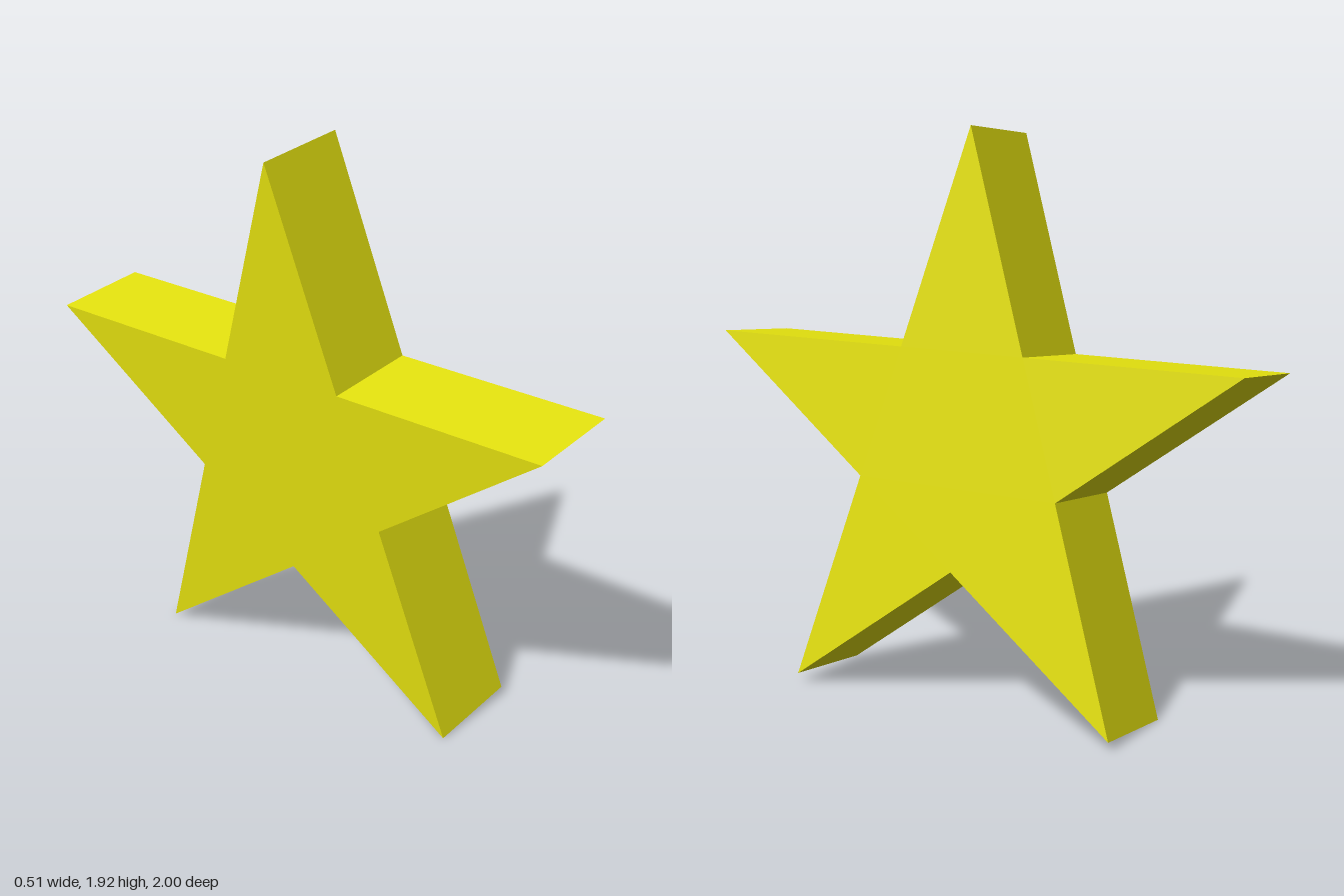
import * as THREE from 'three';

export function createModel() {
  const outer = 1.0515, inner = 0.4016, depth = 0.341;

  // Five-pointed outline, first point straight up
  const points = [];
  for (let i = 0; i < 10; i++) {
    const r = i % 2 ? inner : outer;
    const a = Math.PI / 2 + (i * Math.PI) / 5;
    points.push(new THREE.Vector2(r * Math.cos(a), r * Math.sin(a)));
  }

  // Solid star, broad faces turned to the sides
  const geometry = new THREE.ExtrudeGeometry(new THREE.Shape(points), { depth, bevelEnabled: false });
  geometry.translate(0, 0, -depth / 2);
  geometry.rotateY(Math.PI / 2);

  const material = new THREE.MeshStandardMaterial({ color: 0xe6e30f, flatShading: true });
  const star = new THREE.Mesh(geometry, material);
  star.name = 'star';

  // Slight lean, resting on the lower points
  star.rotation.z = THREE.MathUtils.degToRad(5);
  star.position.set(0.009, 0.862, 0);

  const group = new THREE.Group();
  group.name = 'leaningStar';
  group.add(star);
  return group;
}
